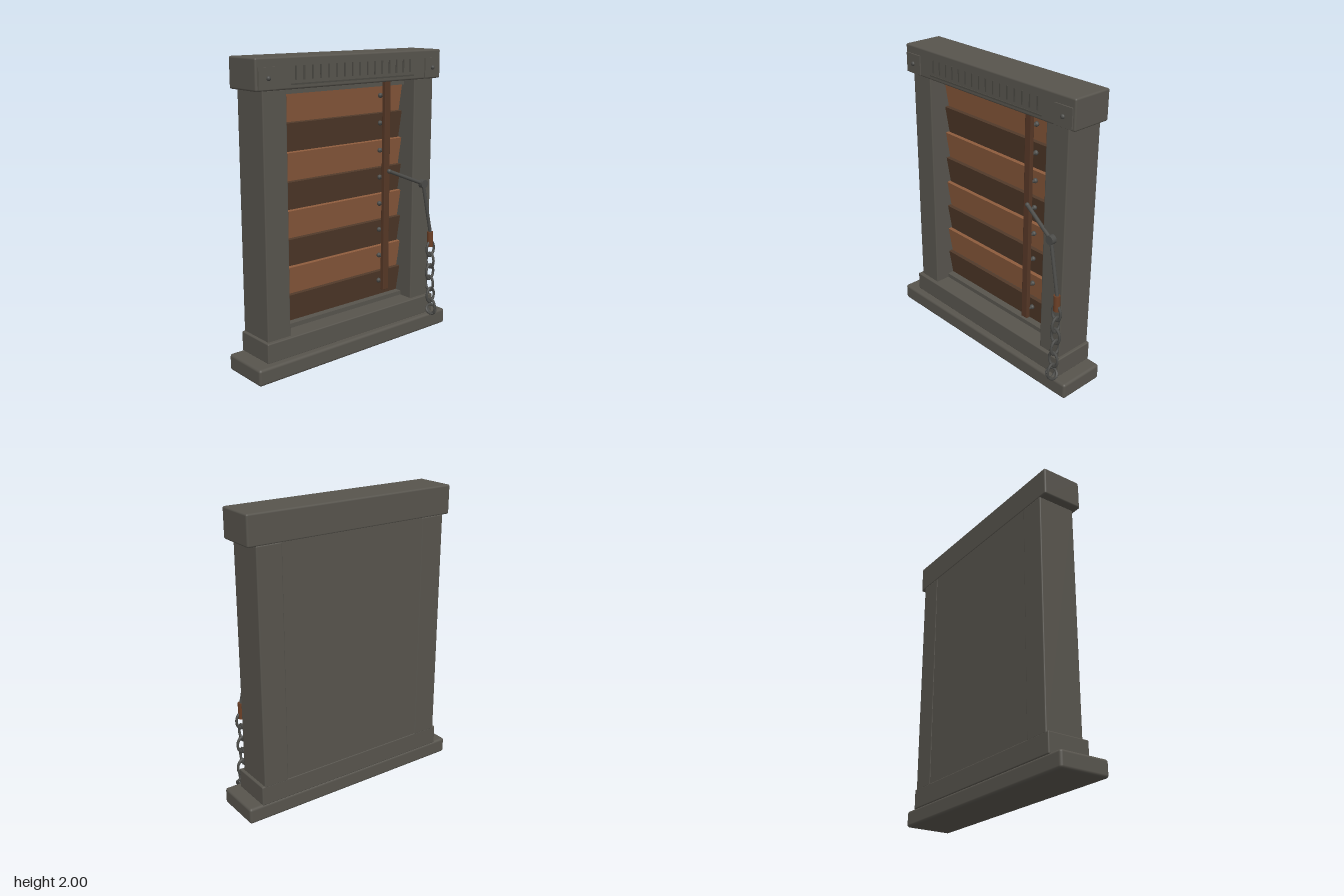
import * as THREE from 'three';
import { RoundedBoxGeometry } from 'three/addons/geometries/RoundedBoxGeometry.js';

const mat = (name, color) => {
  const m = new THREE.MeshStandardMaterial({ color });
  m.name = name;
  return m;
};

export function createModel() {
  const root = new THREE.Group();
  root.name = 'shutteredWindow';
  const stone = mat('stone', 0x57544d);
  const carved = mat('carvedStone', 0x4a4842);
  const lightWood = mat('lightWood', 0x8b5a3c);
  const darkWood = mat('darkWood', 0x503929);
  const barWood = mat('barWood', 0x553726);
  const gripWood = mat('gripWood', 0x6b3f26);
  const iron = mat('iron', 0x4b4b48);

  const add = (name, geo, material, x = 0, y = 0, z = 0, parent = root) => {
    const m = new THREE.Mesh(geo, material);
    m.name = name;
    m.position.set(x, y, z);
    parent.add(m);
    return m;
  };
  // Box given by its limits; r rounds the edges
  const block = (name, material, x0, x1, y0, y1, z0, z1, r = 0) => {
    const s = [x1 - x0, y1 - y0, z1 - z0];
    const geo = r ? new RoundedBoxGeometry(...s, 2, r) : new THREE.BoxGeometry(...s);
    return add(name, geo, material, (x0 + x1) / 2, (y0 + y1) / 2, (z0 + z1) / 2);
  };
  // Round rod between two points
  const rod = (name, a, b, r, material) => {
    const p = new THREE.Vector3(...a), q = new THREE.Vector3(...b);
    const m = add(name, new THREE.CylinderGeometry(r, r, p.distanceTo(q), 12), material);
    m.position.copy(p).lerp(q, 0.5);
    m.quaternion.setFromUnitVectors(new THREE.Vector3(0, 1, 0), q.sub(p).normalize());
    return m;
  };

  // Stone frame
  const sill = block('sill', stone, -0.83, 0.825, 0, 0.11, -0.175, 0.165, 0.018);
  // The sill front is slightly out of square
  const sp = sill.geometry.attributes.position;
  for (let i = 0; i < sp.count; i++) {
    if (sp.getZ(i) > 0) sp.setZ(i, sp.getZ(i) - 0.006 * sp.getX(i) / 0.83);
  }
  block('baseBlock', stone, -0.73, 0.73, 0.105, 0.24, -0.175, 0.12, 0.008);
  for (const s of [-1, 1]) {
    const x = s * 0.622;
    block(s > 0 ? 'leftPost' : 'rightPost', stone, x - 0.088, x + 0.088, 0.23, 1.81, -0.175, 0.093, 0.008);
  }
  block('lintel', stone, -0.765, 0.765, 1.805, 2, -0.175, 0.107, 0.012);
  block('backPanel', stone, -0.57, 0.57, 0.2, 1.83, -0.172, -0.1);
  block('upperStop', stone, -0.54, 0.54, 1.765, 1.82, -0.12, -0.01);
  block('lowerStop', stone, -0.54, 0.54, 0.22, 0.27, -0.12, -0.01);

  // Lintel plates with bolts
  for (const s of [-1, 1]) {
    const x = s * 0.68;
    block('cornerPlate', stone, x - 0.069, x + 0.069, 1.815, 1.945, 0.1, 0.116);
    const bolt = add('plateBolt', new THREE.SphereGeometry(0.015, 12, 8), iron, x, 1.88, 0.118);
    bolt.scale.z = 0.9;
  }
  // Plain row of decorative notches with a band below
  block('carvedBand', carved, -0.51, 0.51, 1.831, 1.841, 0.1, 0.112);
  for (let i = 0; i < 16; i++) {
    const x = -0.475 + i * 0.0633;
    block('carvedNotch', carved, x - 0.005, x + 0.005, 1.86, 1.945, 0.1, 0.112);
  }

  // Tilted slats in alternating wood, each with a pin to the bar
  const pitch = 1.5 / 8;
  for (let i = 0; i < 8; i++) {
    const y = 0.27 + pitch * (i + 0.5);
    const slat = add('slat', new THREE.BoxGeometry(1.07, pitch + 0.006, 0.024),
      i % 2 ? lightWood : darkWood, 0, y, -0.055);
    slat.rotation.x = 0.17;
    rod('slatPin', [0.335, y + 0.025, -0.06], [0.335, y + 0.025, 0.03], 0.009, iron);
    add('slatPinHead', new THREE.SphereGeometry(0.017, 10, 8), iron, 0.335, y + 0.025, -0.03);
  }
  block('tiltBar', barWood, 0.31, 0.36, 0.34, 1.81, 0.015, 0.045, 0.004);

  // Lever arm, joint, pull rod and grip
  rod('leverArm', [0.35, 1.19, 0.05], [0.62, 1.075, 0.112], 0.013, iron);
  add('leverEnd', new THREE.SphereGeometry(0.016, 12, 8), iron, 0.35, 1.19, 0.05);
  rod('leverJoint', [0.62, 1.075, 0.094], [0.62, 1.075, 0.13], 0.031, iron);
  rod('pullRod', [0.62, 1.075, 0.112], [0.7, 0.69, 0.12], 0.012, iron);
  rod('grip', [0.695, 0.715, 0.12], [0.698, 0.605, 0.121], 0.022, gripWood);

  // Chain of oval links, every second one turned sideways
  const link = new THREE.TorusGeometry(0.036, 0.009, 8, 20);
  for (let i = 0; i < 6; i++) {
    const z = 0.122 + (i > 3 ? 0.012 * (i - 3) : 0);
    const m = add('chainLink', link, iron, 0.698, 0.588 - i * 0.0875, z);
    m.scale.set(1, 1.45, 1);
    m.rotation.y = i % 2 ? Math.PI / 2 : 0;
  }
  const last = add('chainLink', link, iron, 0.698, 0.132, 0.145);
  last.rotation.x = -0.6;
  last.scale.x = 1.15;

  return root;
}
